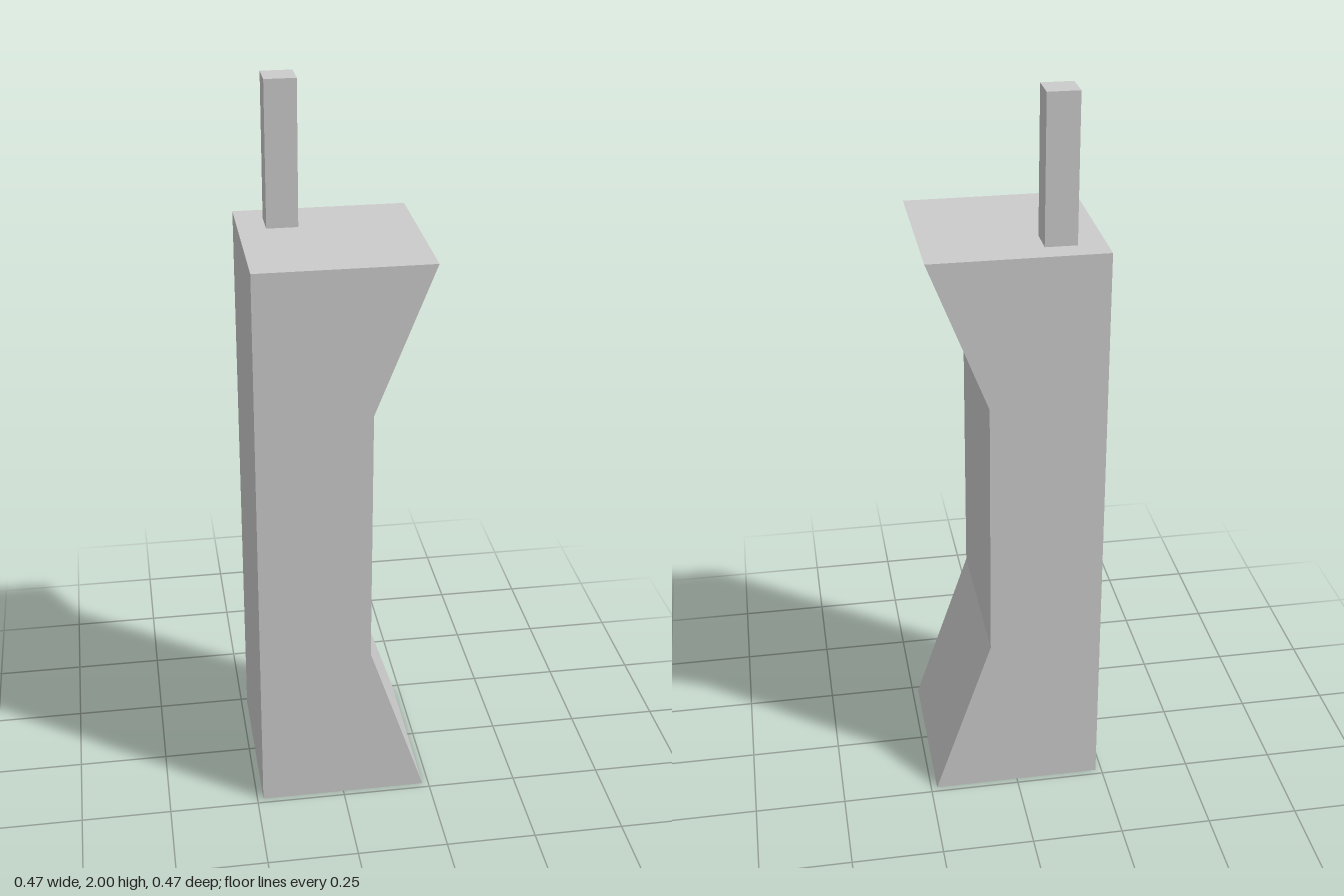
import * as THREE from 'three';

export function createModel() {
  const group = new THREE.Group();
  const material = new THREE.MeshStandardMaterial({ color: 0xcccccc, flatShading: true });
  const half = 0.233, top = 1.61;

  // Body: side profile with a recessed grip, extruded through the depth
  const profile = new THREE.Shape([
    [-half, 0], [half, 0], [0.075, 0.47], [0.075, 1.205], [half, top], [-half, top],
  ].map(([x, y]) => new THREE.Vector2(x, y)));
  const bodyGeometry = new THREE.ExtrudeGeometry(profile, { depth: 2 * half, bevelEnabled: false });
  bodyGeometry.translate(0, 0, -half);
  const body = new THREE.Mesh(bodyGeometry, material);
  body.name = 'body';
  group.add(body);

  // Antenna: square post standing near the back right corner
  const antennaHeight = 2 - top;
  const antenna = new THREE.Mesh(new THREE.BoxGeometry(0.084, antennaHeight, 0.084), material);
  antenna.name = 'antenna';
  antenna.position.set(-0.117, top + antennaHeight / 2, -0.125);
  group.add(antenna);

  return group;
}
